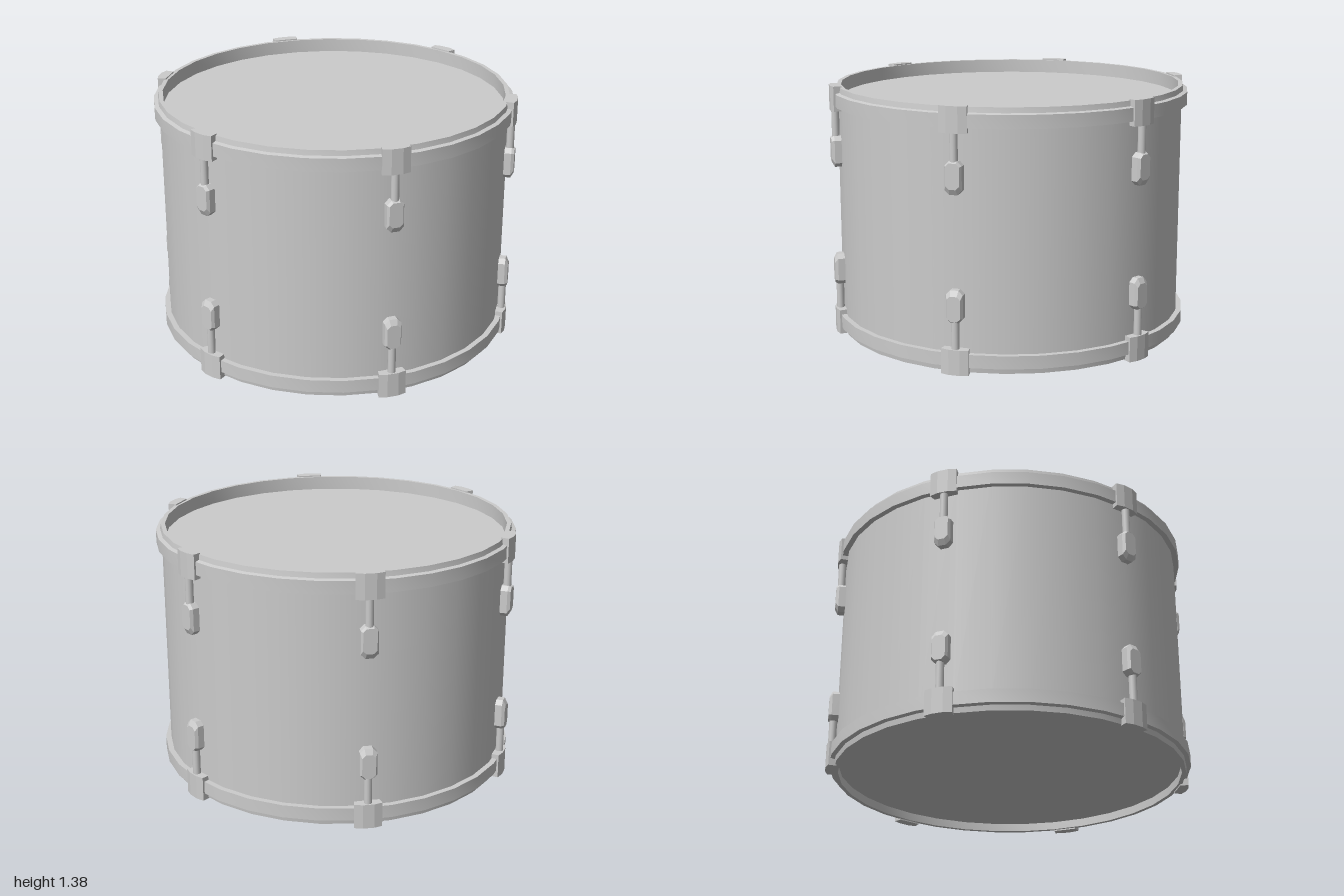
import * as THREE from 'three';
import { toCreasedNormals } from 'three/addons/utils/BufferGeometryUtils.js';

const HEIGHT = 1.38;
const SIDES = 32;
const material = new THREE.MeshStandardMaterial({ color: 0xcccccc });

function part(name, geometry) {
  const mesh = new THREE.Mesh(geometry, material);
  mesh.name = name;
  return mesh;
}

// Stepped hoop: wide outer band with a thinner lip rising past it
function hoopGeometry() {
  const profile = [
    [0.93, 1.27], [0.98, 1.27], [0.98, 1.34], [0.957, 1.345],
    [0.953, 1.373], [0.93, 1.373], [0.93, 1.27],
  ].map(([r, y]) => new THREE.Vector2(r, y));
  return toCreasedNormals(new THREE.LatheGeometry(profile, SIDES), 0.45);
}

// Claw gripping the hoop: a shallow three-faced bracket seen from above
function clawGeometry() {
  const outline = [
    [-0.066, 0.94], [0.066, 0.94], [0.074, 0.984],
    [0.03, 0.997], [-0.03, 0.997], [-0.074, 0.984],
  ].map(([x, z]) => new THREE.Vector2(x, -z));
  const g = new THREE.ExtrudeGeometry(new THREE.Shape(outline.reverse()), { depth: 0.135, bevelEnabled: false });
  g.rotateX(-Math.PI / 2);
  g.translate(0, HEIGHT - 0.135, 0);
  return g;
}

// Lug on the shell: chamfered block whose face slopes at the end away from the rod
function lugGeometry() {
  const w = 0.036, h = 0.076, c = 0.018;
  const outline = [
    [-w + c, -h], [w - c, -h], [w, -h + c], [w, h - c],
    [w - c, h], [-w + c, h], [-w, h - c], [-w, -h + c],
  ].map(([x, y]) => new THREE.Vector2(x, y));
  const g = new THREE.ExtrudeGeometry(new THREE.Shape(outline), {
    depth: 0.05, bevelThickness: 0.016, bevelSize: 0.009, bevelSegments: 1,
  });
  const p = g.attributes.position;
  for (let i = 0; i < p.count; i++) {
    if (p.getZ(i) > 0.06 && p.getY(i) < 0) p.setY(i, p.getY(i) + 0.02);
  }
  g.computeVertexNormals();
  g.translate(0, 1.02, 0.932);
  return g;
}

// One end of the drum, modelled as the top
function drumEnd(name, recess) {
  const end = new THREE.Group();
  end.name = name;
  end.add(part('hoop', hoopGeometry()));

  const head = part('drumHead', new THREE.CircleGeometry(0.935, SIDES));
  head.rotation.x = -Math.PI / 2;
  head.position.y = 1.373 - recess;
  end.add(head);

  const claw = clawGeometry();
  const lug = lugGeometry();
  const rod = new THREE.CylinderGeometry(0.021, 0.021, 0.2, 12);
  rod.translate(0, 1.16, 0.97);
  for (let i = 0; i < 6; i++) {
    const tensioner = new THREE.Group();
    tensioner.name = 'tensioner';
    tensioner.add(part('claw', claw), part('tensionRod', rod), part('lug', lug));
    tensioner.rotation.y = (i * Math.PI) / 3;
    end.add(tensioner);
  }
  return end;
}

export function createModel() {
  const drum = new THREE.Group();
  drum.name = 'drum';

  const shell = part('shell', new THREE.CylinderGeometry(0.95, 0.95, HEIGHT - 0.1, SIDES, 1, true));
  shell.position.y = HEIGHT / 2;
  drum.add(shell);

  // The bottom is the top turned over, with a shallower head
  const bottom = drumEnd('bottomEnd', 0.045);
  bottom.rotation.x = Math.PI;
  bottom.position.y = HEIGHT;
  drum.add(drumEnd('topEnd', 0.075), bottom);
  return drum;
}
